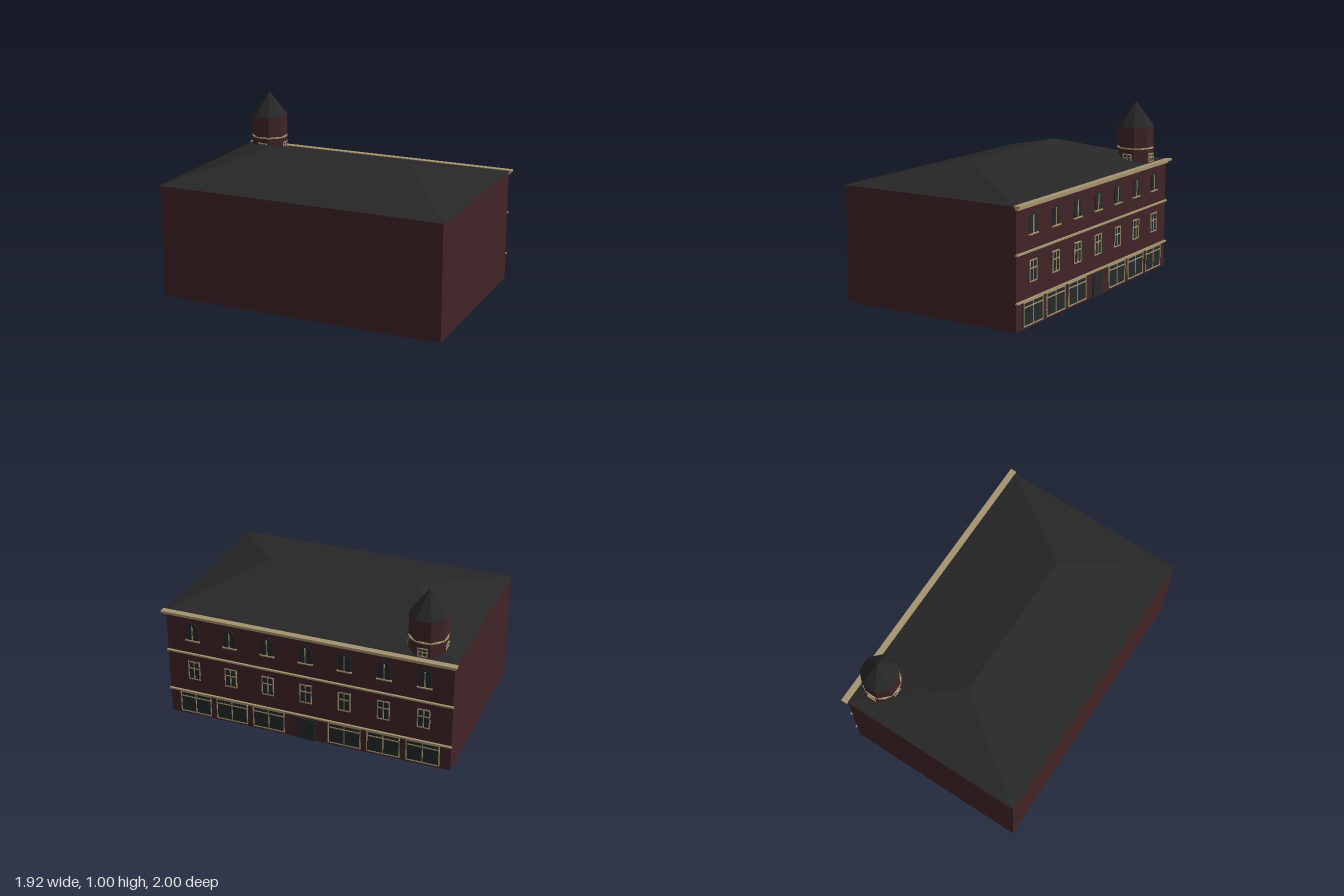
import * as THREE from 'three';

const mat = (name, color) => Object.assign(new THREE.MeshStandardMaterial({ color }), { name });

export function createModel() {
  const brick = mat('brick', 0x412427);
  const slate = mat('roof slate', 0x272727);
  const trim = mat('trim', 0xa6946f);
  const glass = mat('dark glass', 0x25292a);

  const L = 1.651, D = 1.076, F = D / 2; // length, depth, facade plane
  const EAVE = 0.645, RIDGE = 0.775;

  const model = new THREE.Group();
  model.name = 'building';
  // The building stands diagonally; local +z is the facade direction
  const house = new THREE.Group();
  house.name = 'house';
  house.rotation.y = 2.264;
  house.position.set(-0.0075, 0, 0.0075);
  model.add(house);

  const add = (parent, name, geometry, material, x = 0, y = 0, z = 0) => {
    const mesh = new THREE.Mesh(geometry, material);
    mesh.name = name;
    mesh.position.set(x, y, z);
    parent.add(mesh);
    return mesh;
  };
  const box = (parent, name, material, w, h, d, x, y, z) =>
    add(parent, name, new THREE.BoxGeometry(w, h, d), material, x, y, z);
  const flat = (geometry) => {
    const g = geometry.index ? geometry.toNonIndexed() : geometry;
    g.computeVertexNormals();
    return g;
  };

  // Walls
  box(house, 'walls', brick, L, EAVE, D, 0, EAVE / 2, 0);

  // Hipped roof: four eave corners and two ridge ends
  const ex = L / 2 + 0.005, ez = F + 0.005, r = 0.44;
  const roof = new THREE.BufferGeometry();
  roof.setAttribute('position', new THREE.Float32BufferAttribute([
    -ex, EAVE, ez, ex, EAVE, ez, ex, EAVE, -ez, -ex, EAVE, -ez,
    -r, RIDGE, 0, r, RIDGE, 0], 3));
  roof.setIndex([0, 1, 5, 0, 5, 4, 2, 3, 4, 2, 4, 5, 1, 2, 5, 3, 0, 4, 0, 3, 2, 0, 2, 1]);
  add(house, 'roof', flat(roof), slate);

  // Stepped cornice and floor bands
  box(house, 'cornice', trim, L + 0.03, 0.012, 0.036, 0, 0.645, F + 0.014);
  box(house, 'corniceStep', trim, L + 0.012, 0.014, 0.018, 0, 0.633, F + 0.007);
  for (const y of [0.15, 0.398]) box(house, 'floorBand', trim, L + 0.008, 0.009, 0.014, 0, y, F + 0.006);

  // Rectangular window with frame and glazing bars, facing +z
  const bar = 0.006;
  const windowUnit = (parent, name, w, h, barHeight, x, y, z) => {
    const g = new THREE.Group();
    g.name = name;
    g.position.set(x, y, z);
    parent.add(g);
    box(g, 'glassPane', glass, w, h, 0.006, 0, h / 2, 0.002);
    for (const s of [-1, 1]) box(g, 'frameSide', trim, bar, h, 0.009, s * (w - bar) / 2, h / 2, 0.0035);
    for (const yy of [bar / 2, h - bar / 2, h * barHeight])
      box(g, 'frameBar', trim, w, bar, 0.009, 0, yy, 0.0035);
    box(g, 'mullion', trim, bar, h, 0.009, 0, h / 2, 0.0035);
    return g;
  };

  // Arched window with sill and central mullion
  const archW = 0.072, archR = archW / 2, springY = 0.072;
  const arch = new THREE.Shape();
  arch.moveTo(-archR, 0);
  arch.lineTo(archR, 0);
  arch.lineTo(archR, springY);
  arch.absarc(0, springY, archR, 0, Math.PI, false);
  arch.closePath();
  const archGeo = new THREE.ExtrudeGeometry(arch, { depth: 0.006, bevelEnabled: false, curveSegments: 10 });
  const archedWindow = (x) => {
    const g = new THREE.Group();
    g.name = 'archedWindow';
    g.position.set(x, 0.482, F);
    house.add(g);
    add(g, 'glassPane', archGeo, glass, 0, 0, -0.001);
    box(g, 'mullion', trim, bar, 0.092, 0.009, 0, 0.05, 0.0035);
    box(g, 'sill', trim, archW + 0.012, 0.007, 0.012, 0, 0, 0.005);
  };

  // Seven bays, the middle one with the door
  for (let i = -3; i <= 3; i++) {
    const x = i * 0.223;
    archedWindow(x);
    windowUnit(house, 'upperWindow', 0.072, 0.115, 0.62, x, 0.235, F);
    if (i === 0) box(house, 'door', glass, 0.1, 0.13, 0.008, x, 0.065, F + 0.003);
    else windowUnit(house, 'shopWindow', 0.19, 0.13, 0.78, x, 0.013, F);
  }

  // Octagonal corner turret
  const turret = new THREE.Group();
  turret.name = 'turret';
  turret.position.set(0.646, 0, 0.427);
  house.add(turret);
  const R = 0.105, turn = Math.PI / 8;
  add(turret, 'turretWall', flat(new THREE.CylinderGeometry(R, R, 0.26, 8, 1, false, turn)), brick, 0, 0.73, 0);
  add(turret, 'turretRoof', flat(new THREE.ConeGeometry(0.11, 0.145, 8, 1, false, turn)), slate, 0, 0.9325, 0);
  add(turret, 'turretBand', flat(new THREE.CylinderGeometry(0.107, 0.107, 0.008, 16)), trim, 0, 0.736, 0);
  for (let i = 0; i < 4; i++) {
    const side = new THREE.Group();
    side.name = 'turretWindowSide';
    side.rotation.y = i * Math.PI / 2;
    turret.add(side);
    windowUnit(side, 'turretWindow', 0.055, 0.05, 0.55, 0, 0.655, R * Math.cos(turn));
  }
  return model;
}
